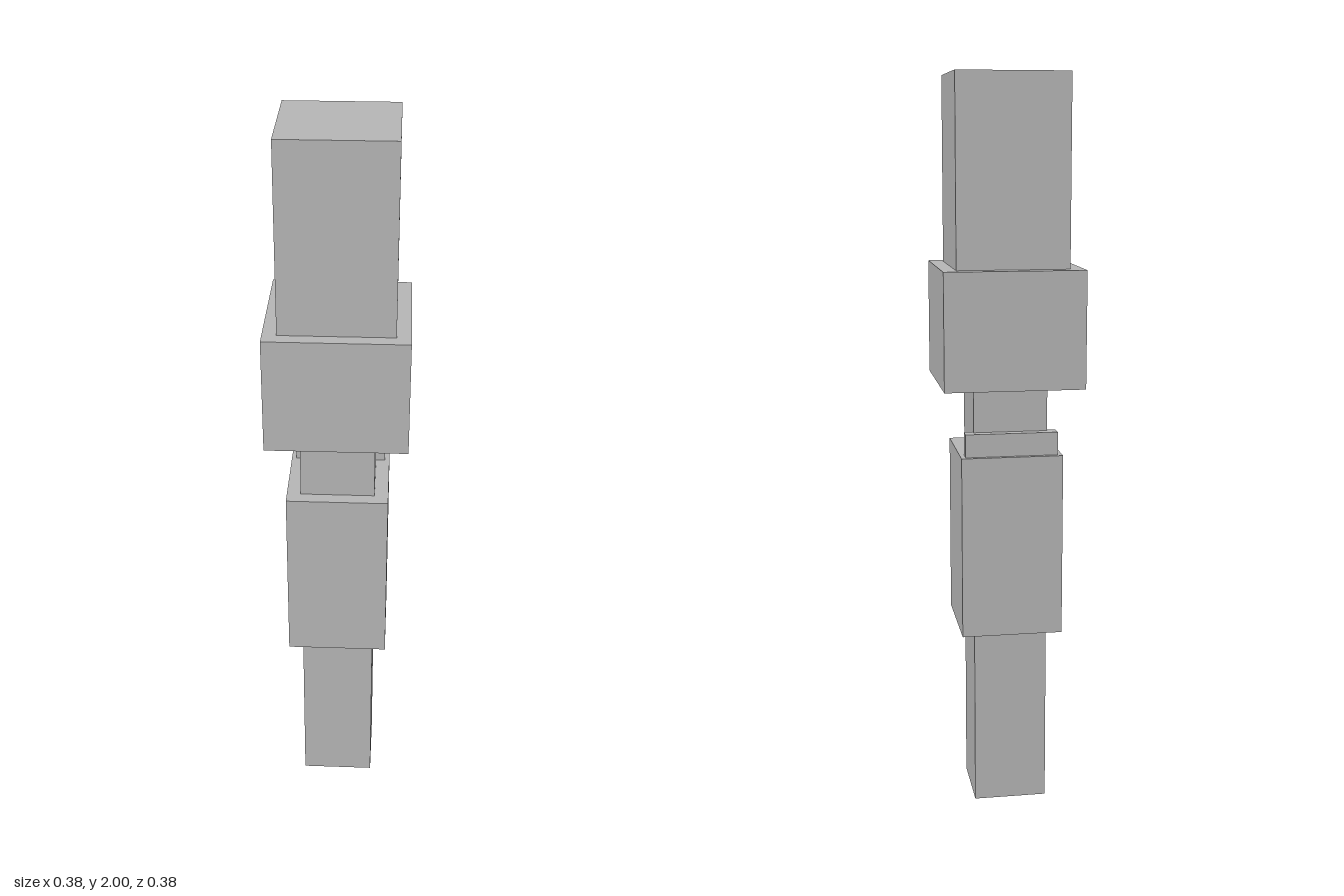
import * as THREE from 'three';

export function createModel() {
  const group = new THREE.Group();
  const grey = new THREE.MeshStandardMaterial({ color: 0xb8b8b8 });
  grey.name = 'plain grey';

  // Box given by width, depth, bottom and top heights, and z offset
  const addBox = (name, width, depth, bottom, top, z = 0) => {
    const mesh = new THREE.Mesh(new THREE.BoxGeometry(width, top - bottom, depth), grey);
    mesh.name = name;
    mesh.position.set(0, (bottom + top) / 2, z);
    group.add(mesh);
  };

  // Square sections stacked from the ground up
  addBox('lowerShaft', 0.2, 0.2, 0, 0.5);
  addBox('grip', 0.275, 0.275, 0.5, 1);
  addBox('neck', 0.2, 0.2, 1, 1.1875);
  addBox('collar', 0.375, 0.375, 1.1875, 1.5);
  addBox('upperBlock', 0.3, 0.3, 1.5, 2);

  // Small ledge resting on the grip behind the neck
  addBox('rearLedge', 0.25, 0.0375, 1, 1.0625, -0.10625);

  return group;
}
